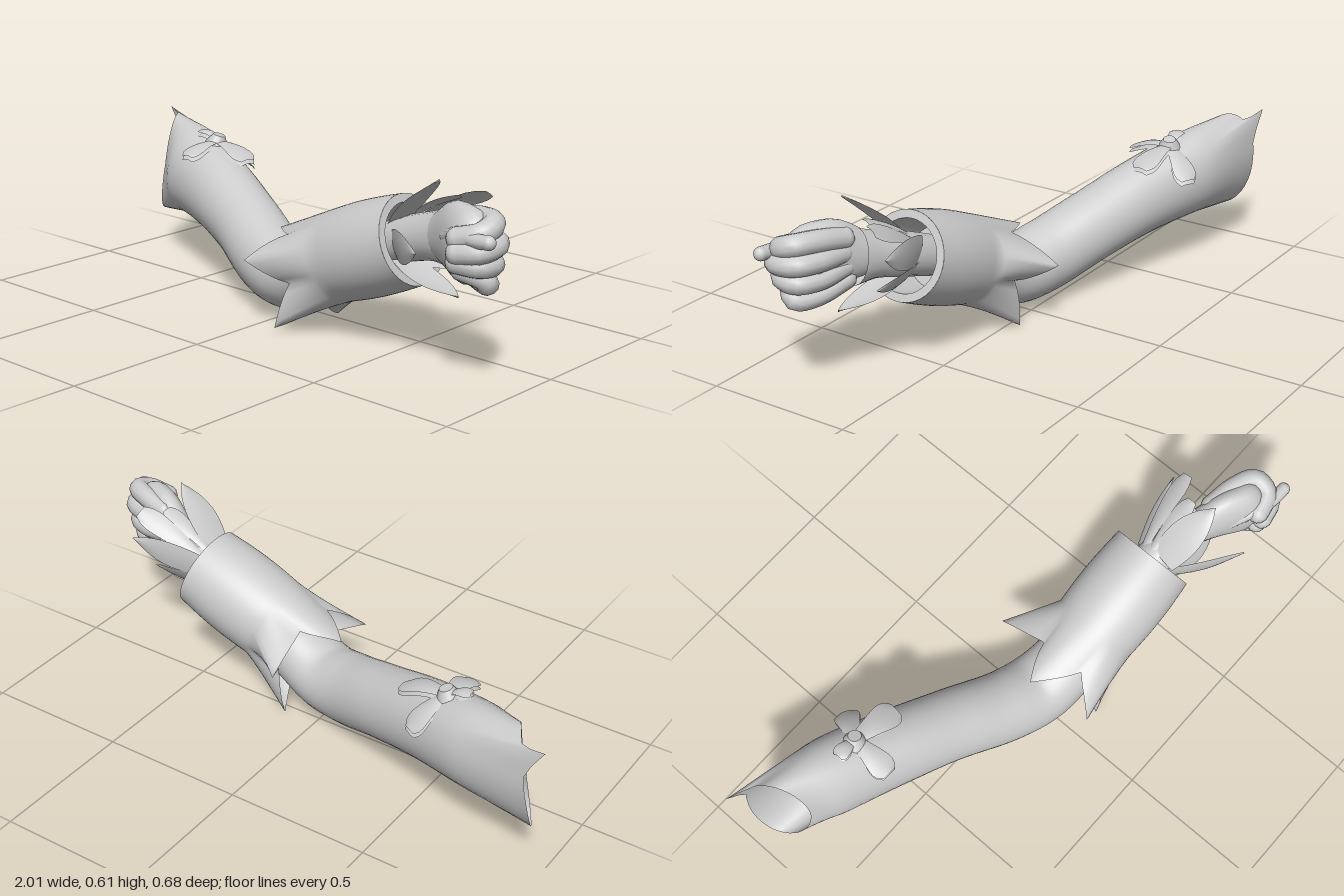
import * as THREE from 'three';

const V = (x, y, z) => new THREE.Vector3(x, y, z);
const TAU = Math.PI * 2;

// Surface of rings: fn(i, angle) gives the point on ring i, closed around the angle.
function loft(rings, seg, fn) {
  const pos = [], idx = [];
  for (let i = 0; i < rings; i++)
    for (let j = 0; j < seg; j++) pos.push(...fn(i, (j / seg) * TAU).toArray());
  for (let i = 0; i < rings - 1; i++)
    for (let j = 0; j < seg; j++) {
      const a = i * seg + j, b = i * seg + ((j + 1) % seg);
      idx.push(a, a + seg, b, b, a + seg, b + seg);
    }
  const g = new THREE.BufferGeometry();
  g.setAttribute('position', new THREE.Float32BufferAttribute(pos, 3));
  g.setIndex(idx);
  g.computeVertexNormals();
  return g;
}

// Tube along sections [x, y, z, upRadius, sideRadius], smoothed by a spline.
function limb(sections, seg, steps, tweak) {
  const path = new THREE.CatmullRomCurve3(sections.map(s => V(s[0], s[1], s[2])));
  const radii = new THREE.CatmullRomCurve3(sections.map(s => V(s[3], s[4], 0)));
  return loft(steps + 1, seg, (i, a) => {
    const t = i / steps, d = path.getTangent(t), r = radii.getPoint(t);
    const side = V(-d.z, 0, d.x).normalize();
    const up = side.clone().cross(d).normalize();
    if (up.y < 0) up.negate();
    const p = path.getPoint(t)
      .addScaledVector(up, Math.cos(a) * Math.max(r.x, 0))
      .addScaledVector(side, Math.sin(a) * Math.max(r.y, 0));
    if (tweak) tweak(p, t, a);
    return p;
  });
}

// Curved leaf from a base to a tip, bowed along its outward normal;
// a blunt one widens towards a squared end.
function leaf(base, tip, out, width, bow, blunt) {
  const dir = tip.clone().sub(base);
  const across = dir.clone().cross(out).normalize();
  const nrm = across.clone().cross(dir).normalize();
  const g = new THREE.PlaneGeometry(1, 1, 6, 10), p = g.attributes.position;
  for (let i = 0; i < p.count; i++) {
    const s = p.getX(i) * 2, t = p.getY(i) + 0.5;
    const w = width * (blunt ? Math.sqrt(Math.max(0.2, 1 - t ** 8)) * (0.3 + 0.7 * t)
      : (0.75 + 0.9 * t) * (1 - t ** 2));
    const q = base.clone().addScaledVector(dir, t)
      .addScaledVector(across, s * w)
      .addScaledVector(nrm, bow * (Math.sin(t * Math.PI) - s * s * 0.5));
    p.setXYZ(i, q.x, q.y, q.z);
  }
  g.computeVertexNormals();
  return g;
}

export function createModel() {
  const root = new THREE.Group();
  root.name = 'sleevedArm';
  const grey = new THREE.MeshStandardMaterial({ color: 0xcccccc, side: THREE.DoubleSide });
  grey.name = 'plain grey';
  const add = (name, geometry, parent = root) => {
    const m = new THREE.Mesh(geometry, grey);
    m.name = name;
    parent.add(m);
    return m;
  };
  const group = name => {
    const g = new THREE.Group();
    g.name = name;
    root.add(g);
    return g;
  };

  // Upper sleeve and elbow; the shoulder opening is slanted with a spike at the back
  add('upperSleeve', limb([
    [-0.88, 0.33, -0.256, 0.174, 0.095], [-0.7, 0.317, -0.2, 0.156, 0.121],
    [-0.5, 0.278, -0.125, 0.137, 0.122], [-0.3, 0.217, -0.045, 0.125, 0.12],
    [-0.12, 0.152, 0.03, 0.124, 0.122], [0.01, 0.136, 0.068, 0.114, 0.124],
    [0.15, 0.19, 0.09, 0.11, 0.115], [0.32, 0.28, 0.1, 0.1, 0.1],
  ], 36, 44, (p, t, a) => {
    const k = Math.max(0, 1 - t / 0.12);
    const spike = Math.max(0, 1 - Math.abs(a - 5.41) / 0.28);
    const low = Math.max(0, -Math.cos(a));
    p.z += Math.max(0, 1 - t / 0.4) * 0.12 * (0.4 - p.y);
    p.x += k * (-0.02 + 0.08 * Math.sin(a) - 0.075 * spike - 0.02 * low);
    p.y += k * (0.06 * spike - 0.015 * low);
    p.z -= k * 0.012 * spike;
  }));

  // Forearm sleeve frame
  const valley = V(0.13, 0.209, 0.098), cuffEnd = V(0.545, 0.368, 0.105);
  const axis = cuffEnd.clone().sub(valley).normalize();
  const up = V(-axis.y, axis.x, 0);
  const around = (c, r, a) => c.clone()
    .addScaledVector(up, r * Math.cos(a)).add(V(0, 0, r * Math.sin(a)));

  // Five leaf tips hanging back over the elbow: top, front, front below, back below, back
  const tips = [V(-0.04, 0.29, 0.07), V(0, 0.23, 0.285), V(0.1, 0.015, 0.25),
    V(0.12, 0, -0.035), V(0.08, 0.23, -0.16)];
  const leafBase = valley.clone().addScaledVector(axis, 0.14);
  const rim = 0.137;
  add('forearmSleeve', loft(21, 60, (i, a) => {
    if (i > 10) {
      const t = (i - 10) / 10;
      return around(leafBase.clone().lerp(cuffEnd, t), 0.15 + 0.007 * Math.sin(t * Math.PI) - 0.005 * t, a);
    }
    const k = Math.round(a / (TAU / 5)), mid = k * TAU / 5;
    const w = Math.pow(1 - Math.min(1, Math.abs(a - mid) / (TAU / 10)), 0.85);
    const edge = around(valley, rim, a)
      .addScaledVector(tips[k % 5].clone().sub(around(valley, rim, mid)), w);
    return edge.lerp(around(leafBase, 0.15, a), i / 10);
  }));

  // Cuff rim and hollow lining
  const along = d => cuffEnd.clone().addScaledVector(axis, d);
  const band = (name, list) =>
    add(name, loft(list.length, 40, (i, a) => around(along(list[i][0]), list[i][1], a)));
  band('cuffRim', [[0, 0.145], [0, 0.118]]);
  band('cuffLining', [[0, 0.118], [-0.08, 0.112], [-0.16, 0.1]]);
  band('cuffFloor', [[-0.16, 0.1], [-0.16, 0.001]]);

  // Wrist and palm
  add('wrist', limb([
    [0.4, 0.32, 0.1, 0.065, 0.065], [0.55, 0.375, 0.115, 0.072, 0.068],
    [0.65, 0.405, 0.135, 0.075, 0.062], [0.73, 0.42, 0.15, 0.09, 0.06],
  ], 20, 10));
  add('palm', limb([
    [0.62, 0.4, 0.125, 0.05, 0.045], [0.7, 0.42, 0.155, 0.075, 0.05],
    [0.79, 0.437, 0.195, 0.115, 0.06], [0.86, 0.432, 0.225, 0.117, 0.07],
    [0.91, 0.425, 0.235, 0.085, 0.05], [0.925, 0.425, 0.238, 0, 0],
  ], 24, 20));

  // Fingers fan out at the knuckles and curl to meet at the front; the thumb lies over them
  const hand = group('fist');
  const digit = (name, pts, r) => {
    const c = new THREE.CatmullRomCurve3(pts);
    add(name, new THREE.TubeGeometry(c, 20, r, 12), hand);
    for (const end of [pts[0], pts[pts.length - 1]])
      add(name + 'Tip', new THREE.SphereGeometry(r, 12, 8), hand).position.copy(end);
  };
  // [knuckle height, fingertip height, knuckle z, fingertip z]
  [[0.51, 0.47, 0.18, 0.288], [0.452, 0.432, 0.17, 0.303],
    [0.39, 0.4, 0.175, 0.292], [0.332, 0.37, 0.19, 0.262]]
    .forEach(([y, tipY, zk, z], i) => {
      const x = i === 1 ? 0.01 : i === 3 ? -0.005 : 0;
      digit('finger', [V(0.77 + x, y * 0.75 + 0.11, 0.16), V(0.865 + x, y, zk),
        V(0.93 + x, y, zk + 0.035), V(0.925 + x, (y + tipY) / 2, z - 0.02),
        V(0.86 + x, tipY, z)], 0.036 - i * 0.001);
    });
  digit('thumb', [V(0.78, 0.45, 0.235), V(0.85, 0.48, 0.275), V(0.92, 0.478, 0.296),
    V(0.978, 0.482, 0.3)], 0.022);

  // Leaves fanning out from the wrist: [base, tip, outward, half width, blunt]
  const frill = group('wristLeaves');
  [
    [V(0.53, 0.44, 0.15), V(0.72, 0.605, 0.2), V(-0.5, 1, 0), 0.065],
    [V(0.53, 0.44, 0.1), V(0.72, 0.54, 0.11), V(-0.3, 1, -0.3), 0.04, true],
    [V(0.53, 0.42, 0.07), V(0.78, 0.545, 0.04), V(0, 0.8, -0.5), 0.05, true],
    [V(0.53, 0.4, 0.05), V(0.78, 0.46, -0.01), V(0, 0, -1), 0.055],
    [V(0.53, 0.37, 0.18), V(0.74, 0.41, 0.335), V(0, 0, 1), 0.055],
    [V(0.53, 0.31, 0.13), V(0.785, 0.25, 0.18), V(0, -1, 0), 0.06],
    [V(0.53, 0.33, 0.07), V(0.74, 0.33, 0.06), V(0, -0.6, -0.8), 0.05],
  ].forEach(([b, t, o, w, blunt]) => add('wristLeaf', leaf(b, t, o, w, 0.01, blunt), frill));

  // Ribbon flower on the upper sleeve
  const flower = group('flower');
  const hub = V(-0.595, 0.458, -0.185);
  const button = add('flowerHub', new THREE.CylinderGeometry(0.022, 0.044, 0.04, 16), flower);
  button.position.copy(hub);
  button.rotation.set(-0.15, 0, -0.25);
  [[V(-0.425, 0.415, -0.165), 0.062], [V(-0.6, 0.425, -0.035), 0.055],
    [V(-0.53, 0.365, -0.3), 0.055], [V(-0.675, 0.485, -0.18), 0.035]]
    .forEach(([t, w]) => {
      const outer = add('flowerPetal', leaf(hub, t, V(0, 1, 0), w, 0.012, true), flower);
      add('flowerPetalBack', outer.geometry.clone(), flower).position.y = -0.015;
    });

  return root;
}
